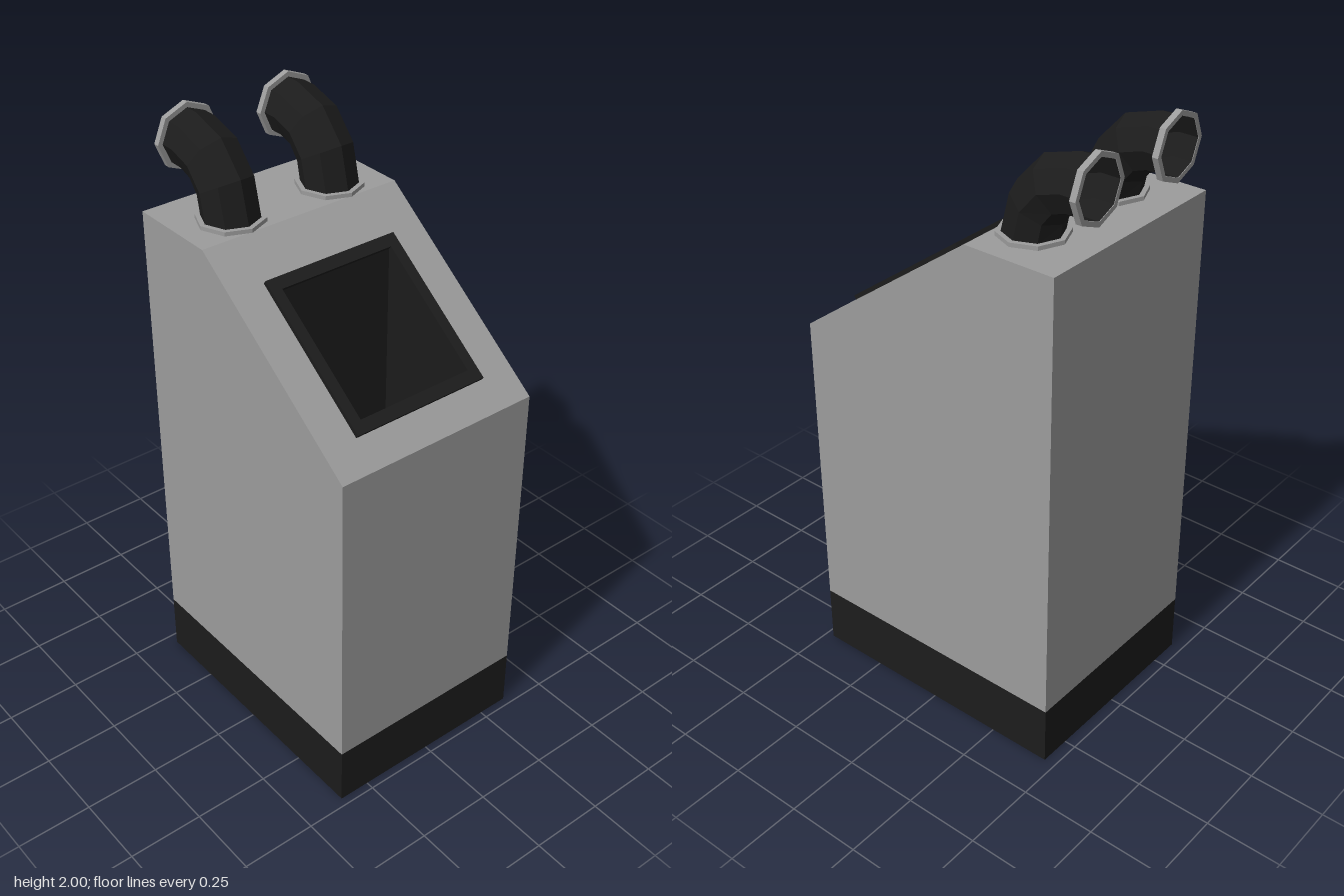
import * as THREE from 'three';

const material = (color) => new THREE.MeshStandardMaterial({ color, flatShading: true, side: THREE.DoubleSide });
const grey = material(0x9c9c9c);
const dark = material(0x1c1c1c);

const W = 0.71, FRONT = 0.473, BACK = -0.461, CREST = -0.155;
const BASE_Y = 0.2, LIP_Y = 1.24, TOP_Y = 1.703;
const slopeY = (z) => LIP_Y + (FRONT - z) * (TOP_Y - LIP_Y) / (FRONT - CREST);
const slopeAngle = Math.atan2(CREST - FRONT, TOP_Y - LIP_Y);

// Hatch opening, measured in the plane of the sloped face
const HATCH = { w: 0.404, h: 0.437, z: 0.179 };

function add(parent, name, geometry, mat) {
  const mesh = new THREE.Mesh(geometry, mat);
  mesh.name = name;
  parent.add(mesh);
  return mesh;
}

function rectangle(w, h, y = 0, Type = THREE.Shape) {
  return new Type([[-1, -1], [1, -1], [1, 1], [-1, 1]].map(
    ([a, b]) => new THREE.Vector2(a * w / 2, y + b * h / 2)));
}

// Full-width panel between two [z, y] profile points, with an optional hole
function panel(parent, name, p, q, width, mat, hole) {
  const dz = q[0] - p[0], dy = q[1] - p[1];
  const shape = rectangle(width, Math.hypot(dz, dy));
  if (hole) shape.holes.push(hole);
  const mesh = add(parent, name, new THREE.ShapeGeometry(shape), mat);
  mesh.rotation.x = Math.atan2(dz, dy);
  mesh.position.set(0, (p[1] + q[1]) / 2, (p[0] + q[0]) / 2);
}

// Mirrored pair of side panels closing a [z, y] profile
function sides(parent, name, profile, width, mat) {
  for (const s of [1, -1]) {
    const shape = new THREE.Shape(profile.map(([z, y]) => new THREE.Vector2(-s * z, y)));
    const mesh = add(parent, name + (s > 0 ? 'Left' : 'Right'), new THREE.ShapeGeometry(shape), mat);
    mesh.rotation.y = s * Math.PI / 2;
    mesh.position.x = s * width / 2;
  }
}

// Octagonal ring lying flat, corners on the axes
function flange(outer, inner, depth) {
  const octagon = (r, Type) => new Type(Array.from({ length: 8 }, (_, i) =>
    new THREE.Vector2(r * Math.cos(i * Math.PI / 4), r * Math.sin(i * Math.PI / 4))));
  const shape = octagon(outer, THREE.Shape);
  shape.holes.push(octagon(inner, THREE.Path));
  return new THREE.ExtrudeGeometry(shape, { depth, bevelEnabled: false });
}

// Octagonal tube whose rows follow a quarter bend from up to backwards
function elbow(radius) {
  const rows = [[-0.257, TOP_Y, 0]];
  for (let i = 0; i <= 3; i++) {
    const a = i * Math.PI / 6;
    rows.push([-0.41 + 0.153 * Math.cos(a), 1.715 + 0.178 * Math.sin(a), a]);
  }
  rows.push([-0.473, 1.893, Math.PI / 2]);
  const last = rows.length - 1;
  const geometry = new THREE.CylinderGeometry(radius, radius, last, 8, last, true);
  const pos = geometry.attributes.position;
  for (let i = 0; i < pos.count; i++) {
    const [cz, cy, a] = rows[Math.round(pos.getY(i) + last / 2)];
    const z = pos.getZ(i);
    pos.setXYZ(i, pos.getX(i), cy + z * Math.sin(a), cz + z * Math.cos(a));
  }
  geometry.computeVertexNormals();
  return geometry;
}

export function createModel() {
  const model = new THREE.Group();
  model.name = 'cabinet';

  // Hollow cabinet body with a sloped face
  const body = new THREE.Group();
  body.name = 'body';
  model.add(body);
  const profile = [[FRONT, BASE_Y], [FRONT, LIP_Y], [CREST, TOP_Y], [BACK, TOP_Y], [BACK, BASE_Y]];
  const slopeLength = Math.hypot(FRONT - CREST, TOP_Y - LIP_Y);
  const hatchOffset = ((FRONT + CREST) / 2 - HATCH.z) * slopeLength / (FRONT - CREST);
  ['frontPanel', 'slopedPanel', 'topPanel', 'backPanel'].forEach((name, i) => {
    const hole = i === 1 ? rectangle(HATCH.w, HATCH.h, hatchOffset, THREE.Path) : null;
    panel(body, name, profile[i], profile[i + 1], W, grey, hole);
  });
  sides(body, 'sidePanel', profile, W, grey);

  // Dark plinth, with a floor plate only at the back
  const plinth = new THREE.Group();
  plinth.name = 'plinth';
  model.add(plinth);
  panel(plinth, 'plinthFront', [FRONT, 0], [FRONT, BASE_Y], W, dark);
  panel(plinth, 'plinthBack', [BACK, BASE_Y], [BACK, 0], W, dark);
  panel(plinth, 'floorPlate', [BACK, 0], [CREST, 0], W, dark);
  sides(plinth, 'plinthSide', [[FRONT, 0], [FRONT, BASE_Y], [BACK, BASE_Y], [BACK, 0]], W, dark);

  // Deep bin behind the hatch
  const bin = new THREE.Group();
  bin.name = 'bin';
  model.add(bin);
  const half = HATCH.h / 2 * (FRONT - CREST) / slopeLength;
  const zf = HATCH.z + half, zb = HATCH.z - half, floor = 0.75;
  const pit = [[zf, slopeY(zf)], [zf, floor], [zb, floor], [zb, slopeY(zb)]];
  ['binFront', 'binFloor', 'binBack'].forEach((name, i) =>
    panel(bin, name, pit[i], pit[i + 1], HATCH.w, dark));
  sides(bin, 'binSide', pit, HATCH.w, dark);

  // Raised frame around the hatch
  const frameShape = rectangle(0.474, 0.516);
  frameShape.holes.push(rectangle(HATCH.w, HATCH.h, 0, THREE.Path));
  const frame = add(model, 'hatchFrame',
    new THREE.ExtrudeGeometry(frameShape, { depth: 0.014, bevelEnabled: false }), dark);
  frame.rotation.x = slopeAngle;
  frame.position.set(0, slopeY(HATCH.z), HATCH.z);

  // Two bent exhaust pipes with a flange at each end
  for (const s of [1, -1]) {
    const pipe = new THREE.Group();
    pipe.name = s > 0 ? 'pipeLeft' : 'pipeRight';
    pipe.position.x = s * 0.183;
    model.add(pipe);
    add(pipe, 'pipeElbow', elbow(0.09), dark);
    const foot = add(pipe, 'footFlange', flange(0.107, 0.091, 0.013), grey);
    foot.rotation.x = -Math.PI / 2;
    foot.position.set(0, TOP_Y, -0.257);
    const mouth = add(pipe, 'mouthFlange', flange(0.107, 0.091, 0.02), grey);
    mouth.position.set(0, 1.893, -0.474);
  }
  return model;
}
